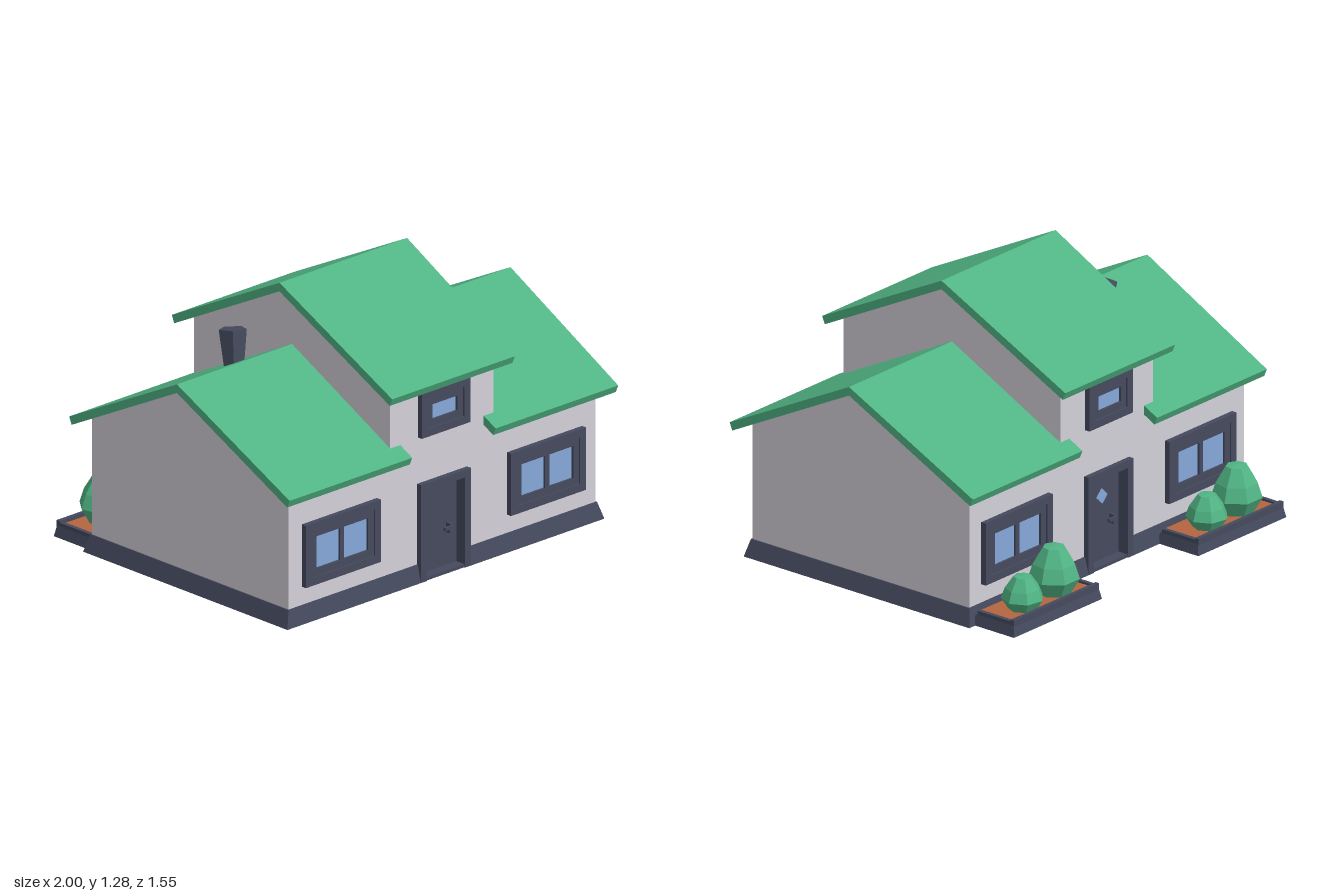
import * as THREE from 'three';

const mat = (name, color) => {
  const m = new THREE.MeshStandardMaterial({ color });
  m.name = name;
  return m;
};

export function createModel() {
  const green = mat('green', 0x50b484);
  const wall = mat('wall grey', 0xd4d1d9);
  const slate = mat('slate', 0x454a5e);
  const glass = mat('glass blue', 0x86a8da);
  const soil = mat('soil', 0xb5653f);

  const model = new THREE.Group();
  model.name = 'house';
  const house = new THREE.Group(); // its z = 0 is the ridge line
  house.name = 'building';
  house.position.z = 0.085;
  model.add(house);

  const add = (parent, name, geo, material, x = 0, y = 0, z = 0) => {
    const m = new THREE.Mesh(geo, material);
    m.name = name;
    m.position.set(x, y, z);
    parent.add(m);
    return m;
  };
  const box = (parent, name, material, w, h, d, x, y, z) =>
    add(parent, name, new THREE.BoxGeometry(w, h, d), material, x, y, z);
  const shapeOf = (pts) => new THREE.Shape(pts.map((p) => new THREE.Vector2(...p)));
  const flat = (geo) => {
    const g = geo.index ? geo.toNonIndexed() : geo;
    g.computeVertexNormals();
    return g;
  };
  // Extrude a (z, y) profile along x from x0 to x1
  const alongX = (pts, x0, x1) =>
    new THREE.ExtrudeGeometry(shapeOf(pts.map(([z, y]) => [-z, y])), { depth: x1 - x0, bevelEnabled: false })
      .rotateY(Math.PI / 2).translate(x0, 0, 0);
  // Box whose top rectangle differs from its bottom one: [x0, x1, z0, z1]
  const taperBox = (bottom, top, y0, y1) => {
    const g = new THREE.BoxGeometry(1, 1, 1);
    const p = g.attributes.position;
    for (let i = 0; i < p.count; i++) {
      const r = p.getY(i) > 0 ? top : bottom;
      p.setXYZ(i, r[p.getX(i) > 0 ? 1 : 0], p.getY(i) > 0 ? y1 : y0, r[p.getZ(i) > 0 ? 3 : 2]);
    }
    return flat(g);
  };
  // Rectangular ring with an opening
  const ring = (w, h, b, depth) => {
    const rect = (x, y) => [[-x, -y], [x, -y], [x, y], [-x, y]];
    const s = shapeOf(rect(w / 2, h / 2));
    s.holes.push(shapeOf(rect(w / 2 - b, h / 2 - b)));
    return new THREE.ExtrudeGeometry(s, { depth, bevelEnabled: false });
  };

  const HW = 0.615; // half depth of the walls
  const WING = 0.975, MID = 1.28; // ridge heights
  // Gabled roof slab; its ends draw in slightly towards the eaves
  const roof = (h, x0, x1, in0, in1) => {
    const g = alongX([[0, h], [-0.69, h - 0.35], [-0.675, h - 0.385], [0, h - 0.04],
      [0.675, h - 0.385], [0.69, h - 0.35]], x0, x1);
    const p = g.attributes.position;
    for (let i = 0; i < p.count; i++) {
      const t = Math.abs(p.getZ(i)) / 0.69;
      p.setX(i, p.getX(i) + (p.getX(i) < (x0 + x1) / 2 ? in0 : -in1) * t);
    }
    return flat(g);
  };

  // Side wings: walls, roof, eave tabs and plinth
  for (const s of [-1, 1]) {
    const side = s > 0 ? 'left' : 'right';
    const span = (a, b) => (s > 0 ? [a, b] : [-b, -a]);
    const e = WING - 0.354;
    add(house, side + 'WingWalls', alongX([[-HW, 0.02], [HW, 0.02], [HW, e], [0, WING - 0.04], [-HW, e]],
      ...span(0.15, 0.92)), wall);
    add(house, side + 'WingRoof', roof(WING, ...span(0.31, 1), s > 0 ? 0 : 0.015, s > 0 ? 0.015 : 0), green);
    for (const f of [-1, 1]) {
      add(house, side + 'EaveTab', alongX([[f * HW, WING - 0.312], [f * 0.69, WING - 0.35],
        [f * 0.675, WING - 0.385], [f * HW, WING - 0.354]], ...span(0.25, 0.312)), green);
    }
    add(house, side + 'Plinth', taperBox([...span(0.15, 0.95), -0.64, 0.64],
      [...span(0.15, 0.925), -0.62, 0.62], 0, 0.08), slate);
  }

  // Raised middle section, recessed at the doors
  const me = MID - 0.354;
  add(house, 'middleWalls', alongX([[-0.57, 0.01], [0.57, 0.01], [0.57, 0.44], [HW, 0.44], [HW, me],
    [0, MID - 0.04], [-HW, me], [-HW, 0.44], [-0.57, 0.44]], -0.31, 0.31), wall);
  add(house, 'middleRoof', roof(MID, -0.385, 0.38, 0.015, 0.015), green);
  box(house, 'threshold', slate, 0.3, 0.015, 1.27, 0, 0.0075, 0);

  // Window: outer frame, inner sash, pane and optional mullion
  const windowUnit = (parent, name, x, y, w, h, sash, mullion) => {
    const g = new THREE.Group();
    g.name = name;
    g.position.set(x, y, HW - 0.01);
    parent.add(g);
    add(g, 'frame', ring(w, h, 0.036, 0.036), slate);
    add(g, 'sash', ring(w - 0.06, h - 0.06, sash, 0.028), slate);
    box(g, 'pane', glass, w - 0.08, h - 0.08, 0.006, 0, 0, 0.014);
    if (mullion) box(g, 'mullion', slate, 0.026, h - 0.08, 0.02, 0, 0, 0.016);
  };

  // Front and back facades
  for (const name of ['front', 'back']) {
    const f = new THREE.Group();
    f.name = name + 'Facade';
    if (name === 'back') f.rotation.y = Math.PI;
    house.add(f);
    for (const s of [-1, 1]) windowUnit(f, 'lowerWindow', s * 0.615, 0.31, 0.45, 0.29, 0.04, true);
    windowUnit(f, 'upperWindow', 0, 0.775, 0.29, 0.21, 0.04, false);
    // Door frame, panel and lever handle
    const arch = shapeOf([[-0.15, 0], [-0.115, 0], [-0.115, 0.42], [0.115, 0.42], [0.115, 0],
      [0.15, 0], [0.15, 0.455], [-0.15, 0.455]]);
    add(f, 'doorFrame', new THREE.ExtrudeGeometry(arch, { depth: 0.075, bevelEnabled: false }), slate, 0, 0, 0.565);
    box(f, 'door', slate, 0.24, 0.43, 0.02, 0, 0.215, 0.575);
    box(f, 'handleStem', slate, 0.016, 0.045, 0.025, 0.062, 0.19, 0.595);
    box(f, 'handleLever', slate, 0.05, 0.014, 0.012, 0.045, 0.195, 0.61);
    if (name === 'back') {
      const d = box(f, 'doorPane', glass, 0.05, 0.05, 0.008, 0, 0.31, 0.587);
      d.rotation.z = Math.PI / 4;
    }
  }

  // Chimney: tilted five-sided block widening upwards
  const chimney = add(house, 'chimney', flat(new THREE.CylinderGeometry(0.064, 0.042, 0.2, 5)), slate, -0.5, 0.945, -0.168);
  chimney.rotation.set(-0.1, 0.5, -0.12);

  // Planters behind the house, each with soil and two faceted bushes
  const bush = flat(new THREE.LatheGeometry([[0, 0], [0.07, 0.005], [0.116, 0.085], [0.095, 0.15], [0.05, 0.225], [0, 0.23]]
    .map((p) => new THREE.Vector2(...p)), 7));
  for (const [name, x, big, small] of [['rightPlanter', -0.62, -0.725, -0.505], ['leftPlanter', 0.615, 0.5, 0.73]]) {
    const g = new THREE.Group();
    g.name = name;
    g.position.x = x;
    model.add(g);
    add(g, 'tray', taperBox([-0.295, 0.295, -0.775, -0.54], [-0.285, 0.285, -0.765, -0.55], 0, 0.05), slate);
    box(g, 'backRim', slate, 0.57, 0.03, 0.02, 0, 0.06, -0.757);
    for (const s of [-1, 1]) box(g, 'sideRim', slate, 0.02, 0.025, 0.2, s * 0.275, 0.055, -0.66);
    box(g, 'soil', soil, 0.54, 0.008, 0.2, 0, 0.054, -0.65);
    add(g, 'largeBush', bush, green, big - x, 0.045, -0.655);
    const b = add(g, 'smallBush', bush, green, small - x, 0.045, -0.672);
    b.scale.set(0.82, 0.72, 0.82);
    b.rotation.y = 0.7;
  }
  return model;
}
